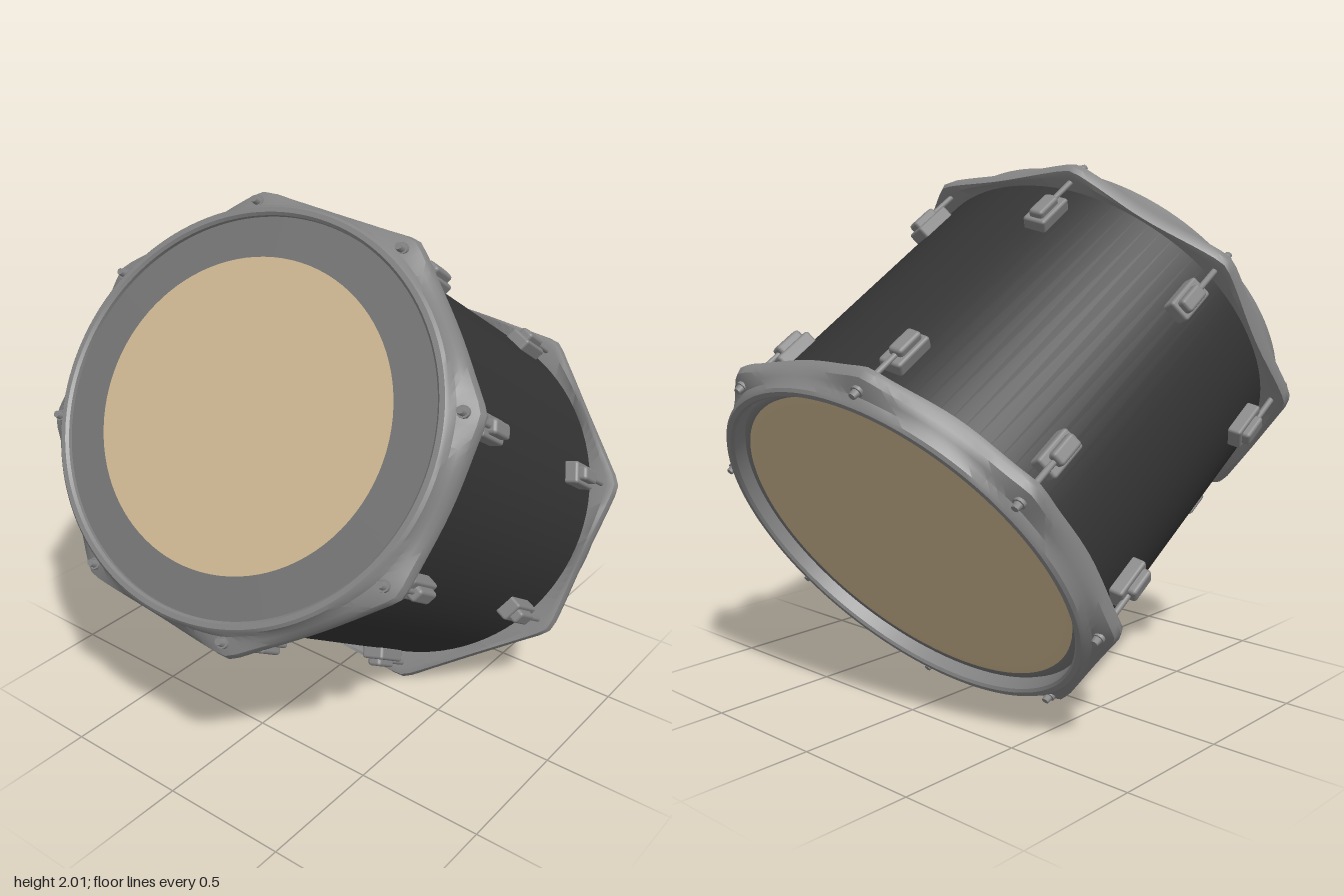
import * as THREE from 'three';
import { toCreasedNormals } from 'three/addons/utils/BufferGeometryUtils.js';
import { RoundedBoxGeometry } from 'three/addons/geometries/RoundedBoxGeometry.js';

const LUGS = 8, STEP = Math.PI * 2 / LUGS;
const mat = (color, side = THREE.FrontSide) => new THREE.MeshStandardMaterial({ color, side });
const metal = mat(0x858585), ringGrey = mat(0x747474), skin = mat(0xcdb791);
const shellMat = mat(0x343434, THREE.DoubleSide);

function add(parent, name, geometry, material, x = 0, y = 0, z = 0) {
  const mesh = new THREE.Mesh(geometry, material);
  mesh.name = name;
  mesh.position.set(x, y, z);
  parent.add(mesh);
  return mesh;
}

const lathe = (pts, seg = 96) => new THREE.LatheGeometry(pts.map(p => new THREE.Vector2(...p)), seg);

// Pressed hoop: a lathed flange pulled out into rounded corners at the lugs
function hoopGeometry(phase) {
  const g = lathe([
    [0.80, 0.60], [0.88, 0.575], [0.912, 0.578], [0.92, 0.60], [0.91, 0.628], [0.875, 0.648],
    [0.84, 0.665], [0.826, 0.69], [0.815, 0.70], [0.795, 0.70], [0.785, 0.69], [0.785, 0.60], [0.80, 0.60],
  ], 128);
  const p = g.attributes.position;
  for (let i = 0; i < p.count; i++) {
    const x = p.getX(i), z = p.getZ(i), r = Math.hypot(x, z);
    const a = Math.atan2(x, z) - phase;
    const fromMid = a - (Math.floor(a / STEP) + 0.5) * STEP;
    const edge = Math.min(0.854 / Math.cos(fromMid), 0.918);
    const t = THREE.MathUtils.clamp((r - 0.826) / 0.094, 0, 1);
    const k = (r + t * (edge - 0.92)) / r;
    p.setXYZ(i, x * k, p.getY(i) + 0.012 * t * Math.cos(a * LUGS), z * k);
  }
  return toCreasedNormals(g, 0.6);
}

// Lug casing, tension rod and bolt, reaching outward along +z
function makeLug() {
  const lug = new THREE.Group();
  lug.name = 'lug';
  add(lug, 'lugBase', new RoundedBoxGeometry(0.095, 0.165, 0.06, 2, 0.012), metal, 0, 0.42, 0.825);
  add(lug, 'lugCap', new RoundedBoxGeometry(0.06, 0.115, 0.05, 2, 0.014), metal, 0, 0.41, 0.86);
  add(lug, 'tensionRod', new THREE.CylinderGeometry(0.012, 0.012, 0.2, 10), metal, 0, 0.56, 0.856);
  add(lug, 'boltCollar', new THREE.CylinderGeometry(0.024, 0.024, 0.012, 12), metal, 0, 0.66, 0.86);
  add(lug, 'boltHead', new THREE.CylinderGeometry(0.014, 0.018, 0.024, 8), metal, 0, 0.676, 0.86);
  return lug;
}

// One end of the drum: hoop, lugs and drumhead
function makeEnd(name, phase, headParts) {
  const end = new THREE.Group();
  end.name = name;
  add(end, 'hoop', hoopGeometry(phase), metal);
  for (let i = 0; i < LUGS; i++) {
    const lug = makeLug();
    lug.rotation.y = phase + i * STEP;
    end.add(lug);
  }
  for (const [part, profile, material] of headParts) add(end, part, lathe(profile), material);
  return end;
}

export function createModel() {
  const drum = new THREE.Group();
  drum.name = 'drum';
  add(drum, 'shell', new THREE.CylinderGeometry(0.805, 0.805, 1.24, 96, 1, true), shellMat);

  // Upper end: flat head with a grey outer ring
  const phase = THREE.MathUtils.degToRad(17);
  drum.add(makeEnd('upperEnd', phase, [
    ['headRing', [[0.79, 0.675], [0.62, 0.68]], ringGrey],
    ['headCentre', [[0.62, 0.68], [0, 0.68]], skin],
  ]));

  // Lower end: plain head set deeper inside its hoop
  const lower = makeEnd('lowerEnd', -phase, [
    ['headCollar', [[0.79, 0.625], [0.77, 0.645], [0.745, 0.645]], ringGrey],
    ['head', [[0.745, 0.645], [0.70, 0.65], [0, 0.65]], skin],
  ]);
  lower.rotation.z = Math.PI;
  drum.add(lower);

  // Slightly oval section, tilted to one side
  drum.scale.set(0.9, 1, 1);
  drum.rotation.z = 1.0;
  drum.position.y = 1;

  const model = new THREE.Group();
  model.name = 'tiltedDrum';
  model.add(drum);
  return model;
}
